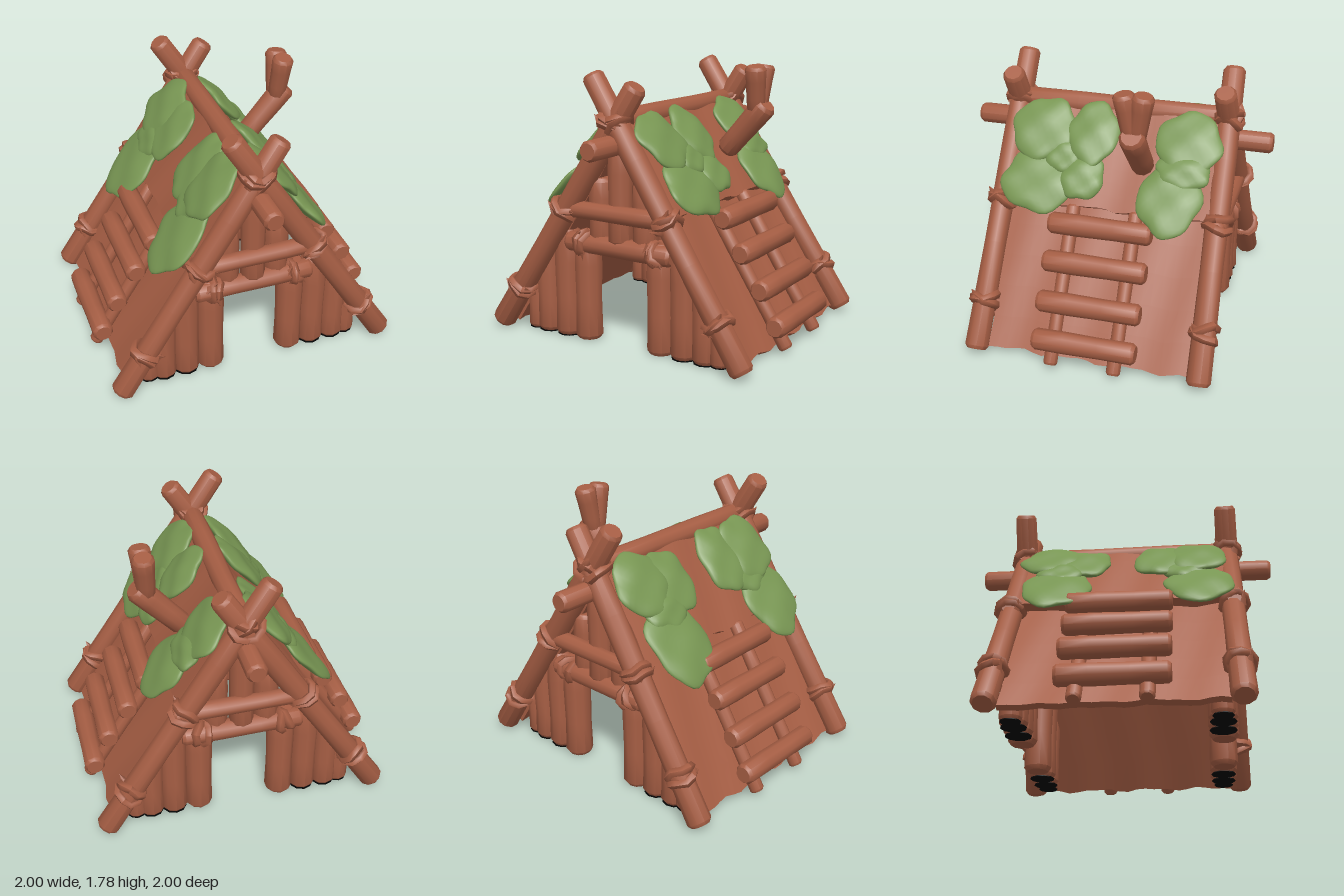
import * as THREE from 'three';
import { mergeVertices, toCreasedNormals } from 'three/addons/utils/BufferGeometryUtils.js';

const mat = (name, color) => {
  const m = new THREE.MeshStandardMaterial({ color });
  m.name = name;
  return m;
};
const V = (x, y, z) => new THREE.Vector3(x, y, z);
const UP = V(0, 1, 0);
const APEX = 1.49;                       // height where the pole axes cross
const PITCH = Math.atan2(0.545, 0.838);  // lean of the roof from vertical

export function createModel() {
  const wood = mat('wood', 0xa65e44);
  const leaf = mat('leaf green', 0x789653);
  const dark = mat('dark end', 0x050505);
  const model = new THREE.Group();
  model.name = 'leanToHut';

  const add = (parent, name, geometry, material) => {
    const mesh = new THREE.Mesh(geometry, material);
    mesh.name = name;
    parent.add(mesh);
    return mesh;
  };

  // Bevelled, slightly swollen log standing on the origin
  const logGeometry = (len, r0, r1) => {
    const pts = [[0, 0], [r0 * 0.78, 0], [r0, r0 * 0.3], [(r0 + r1) * 0.485, len * 0.35],
      [(r0 + r1) * 0.515, len * 0.7], [r1, len - r1 * 0.3], [r1 * 0.78, len], [0, len]];
    return new THREE.LatheGeometry(pts.map(p => new THREE.Vector2(...p)), 10);
  };

  // Log running between two points
  const log = (parent, name, a, b, r0, r1 = r0) => {
    const d = b.clone().sub(a);
    const mesh = add(parent, name, toCreasedNormals(logGeometry(d.length(), r0, r1), 0.75), wood);
    mesh.position.copy(a);
    mesh.quaternion.setFromUnitVectors(UP, d.normalize());
    return mesh;
  };

  // Upright wall log whose top is cut off below the roof slope
  const wallLog = (name, x, z, r, y0, y1) => {
    const g = logGeometry(y1 - y0, r, r * 0.95).translate(x, y0, z);
    const p = g.attributes.position;
    for (let i = 0; i < p.count; i++) {
      const limit = APEX - 1.538 * (Math.abs(p.getX(i)) + 0.06);
      p.setY(i, Math.min(p.getY(i), limit));
    }
    add(model, name, toCreasedNormals(g, 0.75), wood);
  };

  // Rope binding: two crossed rough rings and pointed loose ends
  const binding = (at, axis, r, seed = 0) => {
    const group = new THREE.Group();
    group.name = 'ropeBinding';
    for (const k of [-1, 1]) {
      const ring = new THREE.TorusGeometry(r, 0.024, 5, 9).rotateX(Math.PI / 2);
      const p = ring.attributes.position;
      for (let i = 0; i < p.count; i++) {
        const a = Math.atan2(p.getZ(i), p.getX(i));
        p.setY(i, p.getY(i) * 1.25 + 0.01 * Math.sin(3 * a + seed));
      }
      ring.computeVertexNormals();
      const mesh = add(group, 'ropeRing', ring, wood);
      mesh.rotation.set(0.22 * k, seed, 0.2 * k);
      mesh.position.y = 0.016 * k;
      const end = add(group, 'ropeEnd', new THREE.ConeGeometry(0.035, 0.1, 4), wood);
      end.position.set(r * 0.7 * k, 0.03 * k, r * 0.65);
      end.rotation.set(0.5, 0, -1.0 * k);
    }
    group.position.copy(at);
    group.quaternion.setFromUnitVectors(UP, axis.clone().normalize());
    model.add(group);
  };

  // Ridge pole in the crotches, and the long beam beneath it
  log(model, 'ridgePole', V(0, 1.485, -0.72), V(0, 1.485, 0.72), 0.073);
  log(model, 'ridgeBeam', V(0, 1.34, -1), V(0, 1.34, 1), 0.068);

  // Gable frames and walls at both ends
  for (const f of [-1, 1]) {
    log(model, 'gablePole', V(-0.93, 0.05, 0.745 * f), V(0.155, 1.71, 0.70 * f), 0.08, 0.073);
    log(model, 'gablePole', V(0.93, 0.05, 0.745 * f), V(-0.175, 1.765, 0.70 * f), 0.08, 0.073);
    log(model, 'crossBeam', V(-0.46, 0.905, 0.73 * f), V(0.46, 0.905, 0.73 * f), 0.057);
    log(model, 'doorHeader', V(-0.4, 0.675, 0.68 * f), V(0.4, 0.675, 0.68 * f), 0.066);
    wallLog('gablePost', 0, 0.66 * f, 0.082, 0.7, 1.36);

    for (const s of [-1, 1]) {
      const along = V(-0.545 * s, 0.838, 0);
      wallLog('gableLog', 0.168 * s, 0.63 * f, 0.084, 0.68, 1.11);
      wallLog('doorLog', 0.281 * s, 0.63 * f, 0.093, 0.018, 0.74);
      // Wall logs with thin dark undersides
      for (const [x, r, top] of [[0.45, 0.093, 0.74], [0.605, 0.09, 0.6], [0.71, 0.072, 0.4]]) {
        wallLog('wallLog', x * s, 0.625 * f, r, 0.02, top);
        const cap = add(model, 'wallLogEnd', new THREE.CylinderGeometry(r * 0.9, r * 0.9, 0.005, 10), dark);
        cap.position.set(x * s, 0.0185, 0.625 * f);
      }
      binding(V(0.385 * s, 0.905, 0.73 * f), along, 0.085, s + f);
      binding(V(0.755 * s, 0.33, 0.737 * f), along, 0.085, 2 * s + f);
      binding(V(0.275 * s, 0.675, 0.68 * f), V(1, 0.25 * s, 0), 0.072, s - f);
      binding(V(0.02 * s, 1.485, 0.705 * f), along, 0.088, 3 * s + f);
    }
  }

  // Roof sheet in slope space (x outward, y up the slope), with worn edges
  const sheet = (parent, name, t0, t1, off0, off1, thick, wave) => {
    const g = new THREE.BoxGeometry(thick, t1 - t0, 1.34, 1, 8, 22);
    const p = g.attributes.position;
    for (let i = 0; i < p.count; i++) {
      const y = p.getY(i), z = p.getZ(i), k = y / (t1 - t0) + 0.5;
      const ragged = wave * (Math.sin(z * 17) + 0.6 * Math.sin(z * 31 + 1));
      p.setXYZ(i,
        p.getX(i) + off0 + (off1 - off0) * k + 0.006 * Math.sin(z * 15 + y * 3),
        t0 + (t1 - t0) * k + ragged * (1 - k),
        z * (1 + 0.012 * Math.sin(y * 14)));
    }
    g.computeVertexNormals();
    add(parent, name, g, wood);
  };

  // Lobed leaf clump lying on the slope, its lower end lifted
  const clump = (parent, t, z, rt, rz, i) => {
    const raw = new THREE.IcosahedronGeometry(1, 5);
    raw.deleteAttribute('uv');
    raw.deleteAttribute('normal');
    const g = mergeVertices(raw);
    const p = g.attributes.position;
    for (let n = 0; n < p.count; n++) {
      const x = p.getX(n), y = p.getY(n), w = p.getZ(n), a = Math.atan2(y, w);
      const flat = Math.hypot(y, w);
      const lobe = 1 + flat * (0.05 * Math.sin(4 * a + i * 1.7) + 0.03 * Math.sin(7 * a + i));
      const bump = 0.008 * Math.sin(5 * y + i) * Math.cos(4 * w + i);
      p.setXYZ(n, x * 0.046 + bump, y * rt * lobe, w * rz * lobe);
    }
    g.computeVertexNormals();
    const mesh = add(parent, 'leafClump', g, leaf);
    mesh.position.set(0.078 - 0.065 * t + 0.01 * (i % 2), t, z);
    mesh.rotation.z = 0.14;
  };

  // Leaf clumps per roof side: slope position, z, half length, half width
  const clumps = {
    left: [[-0.22, 0.48, 0.22, 0.22], [-0.22, 0.14, 0.22, 0.17], [-0.57, 0.46, 0.215, 0.25],
      [-0.51, 0.17, 0.16, 0.15], [-0.22, -0.49, 0.22, 0.215], [-0.59, -0.42, 0.25, 0.205],
      [-0.38, 0.31, 0.13, 0.13], [-0.4, -0.48, 0.13, 0.18]],
    right: [[-0.26, -0.25, 0.25, 0.18], [-0.25, -0.5, 0.24, 0.2], [-0.63, -0.51, 0.29, 0.22],
      [-0.22, 0.49, 0.23, 0.21], [-0.27, 0.27, 0.23, 0.19], [-0.64, 0.42, 0.3, 0.23],
      [-0.42, -0.42, 0.14, 0.16], [-0.42, 0.41, 0.14, 0.17]],
  };

  // Both roof slopes with their ladders
  for (const side of ['left', 'right']) {
    const half = new THREE.Group();
    half.name = side + 'Roof';
    half.rotation.y = side === 'left' ? 0 : Math.PI;
    const slope = new THREE.Group();
    slope.name = 'slope';
    slope.position.y = APEX;
    slope.rotation.z = PITCH;
    half.add(slope);
    model.add(half);

    sheet(slope, 'lowerRoof', -1.68, -0.03, -0.06, -0.05, 0.04, 0.01);
    sheet(slope, 'upperRoof', -0.7, 0.02, 0.025, 0.02, 0.06, 0.008);
    for (const z of [-0.2, 0.22]) {
      log(slope, 'ladderRail', V(0.02, -1.735, z), V(0.03, -0.69, z), 0.047);
    }
    for (const [off, t] of [[0.082, -1.58], [0.108, -1.335], [0.112, -1.075], [0.117, -0.828]]) {
      log(slope, 'ladderRung', V(off, t, -0.34), V(off, t, 0.34), 0.07);
    }
    clumps[side].forEach(([t, z, rt, rz], i) => clump(slope, t, z, rt, rz, i + (side === 'left' ? 0 : 6)));
  }

  // Forked branch growing out of the left slope
  log(model, 'branchStem', V(0.27, 1.2, -0.21), V(0.572, 1.535, -0.21), 0.075, 0.083);
  for (const s of [-1, 1]) {
    log(model, 'branchFork', V(0.5, 1.46, -0.21 + 0.01 * s), V(0.522, 1.785, -0.21 + 0.065 * s), 0.058, 0.072);
  }
  return model;
}
